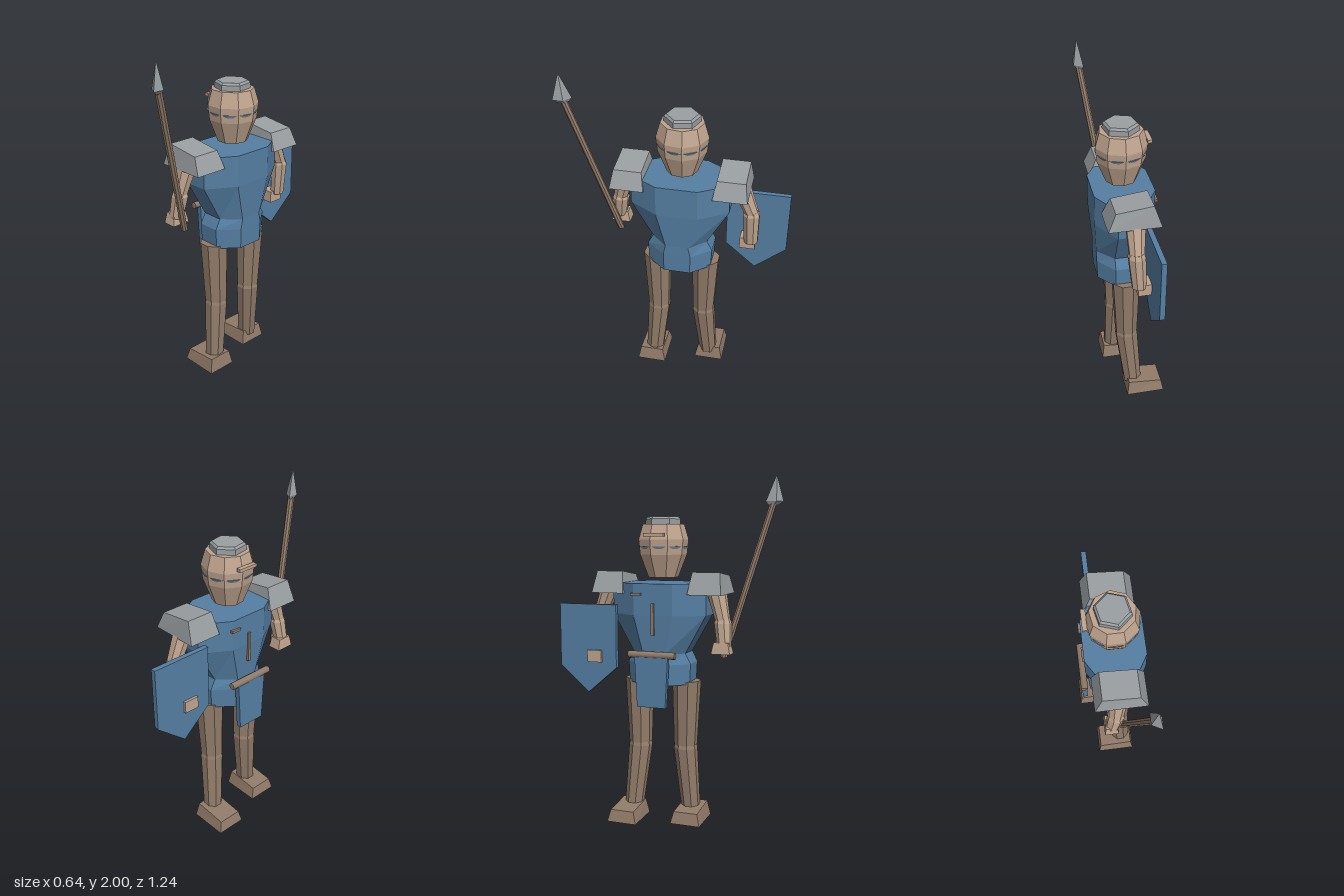
import * as THREE from 'three';

const mat = (name, color) => {
  const m = new THREE.MeshStandardMaterial({ color });
  m.name = name;
  return m;
};

// Faceted solid through stacked rings [y, radiusX, radiusZ, centreX, centreZ], bottom to top
function loft(rings, sides, start = 0) {
  const pos = [];
  const at = ([y, rx, rz, cx = 0, cz = 0], i) => {
    const a = start + ((i % sides) / sides) * Math.PI * 2;
    return [cx + rx * Math.sin(a), y, cz + rz * Math.cos(a)];
  };
  const mid = ([y, , , cx = 0, cz = 0]) => [cx, y, cz];
  const low = rings[0], high = rings[rings.length - 1];
  for (let i = 0; i < sides; i++) {
    for (let k = 0; k < rings.length - 1; k++) {
      const a = at(rings[k], i), b = at(rings[k], i + 1);
      const c = at(rings[k + 1], i + 1), d = at(rings[k + 1], i);
      pos.push(...a, ...b, ...c, ...a, ...c, ...d);
    }
    pos.push(...mid(high), ...at(high, i), ...at(high, i + 1));
    pos.push(...mid(low), ...at(low, i + 1), ...at(low, i));
  }
  const g = new THREE.BufferGeometry();
  g.setAttribute('position', new THREE.Float32BufferAttribute(pos, 3));
  g.computeVertexNormals();
  return g;
}

// Box standing on y = 0 whose top is scaled by sx, sz and has its own front and back height
function block(w, l, sx, sz, frontH, backH) {
  const g = new THREE.BoxGeometry(w, 1, l).toNonIndexed();
  const p = g.attributes.position;
  for (let i = 0; i < p.count; i++) {
    const top = p.getY(i) > 0;
    const h = p.getZ(i) > 0 ? frontH : backH;
    p.setXYZ(i, p.getX(i) * (top ? sx : 1), top ? h : 0, p.getZ(i) * (top ? sz : 1));
  }
  g.computeVertexNormals();
  return g;
}

export function createModel() {
  const skin = mat('tan', 0xc0a58f);
  const brown = mat('brown', 0x927c6a);
  const blue = mat('blue', 0x557fa3);
  const grey = mat('steel grey', 0x9a9fa2);
  const slit = mat('slit blue grey', 0x7d96ab);

  const model = new THREE.Group();
  // The soldier is modelled facing +z, then turned
  const body = new THREE.Group();
  body.name = 'soldier';
  body.position.z = -0.03;
  body.rotation.y = (-120 * Math.PI) / 180;
  model.add(body);

  const add = (name, geo, material, x = 0, y = 0, z = 0, parent = body) => {
    const m = new THREE.Mesh(geo, material);
    m.name = name;
    m.position.set(x, y, z);
    parent.add(m);
    return m;
  };
  const box = (w, h, d) => new THREE.BoxGeometry(w, h, d);

  // Torso
  add('tunic', loft([
    [0.82, 0.2, 0.164], [0.94, 0.206, 0.168], [1.0, 0.172, 0.168],
    [1.22, 0.305, 0.184], [1.4, 0.305, 0.184],
  ], 8, Math.PI / 8), blue);

  // Head, cap and eye slit ring that shows through the middle of each facet
  const headTurn = -Math.PI / 18;
  add('head', loft([
    [1.43, 0.088, 0.088], [1.56, 0.138, 0.138], [1.645, 0.147, 0.147], [1.73, 0.122, 0.122],
  ], 9, headTurn), skin);
  add('eyeSlits', loft([[1.592, 0.134, 0.134], [1.607, 0.1412, 0.1412]], 36), slit);
  add('cap', loft([[1.72, 0.102, 0.102], [1.76, 0.1, 0.1], [1.772, 0.088, 0.088]], 6, 0.72), grey);
  add('visorBar', box(0.12, 0.018, 0.026), skin, 0, 1.67, 0.148);

  // Belt, loincloth and chest fittings
  const belt = add('beltBar', new THREE.CylinderGeometry(0.02, 0.02, 0.28, 8), brown, 0, 1.0, 0.185);
  belt.rotation.z = Math.PI / 2;
  const cloth = new THREE.Shape([[-0.1, 0], [0.1, 0], [0.085, -0.29], [-0.085, -0.29]]
    .map(([x, y]) => new THREE.Vector2(x, y)));
  add('loincloth', new THREE.ExtrudeGeometry(cloth, { depth: 0.03, bevelEnabled: false }), blue, 0, 0.99, 0.17);
  add('chestStrip', box(0.016, 0.18, 0.03), brown, 0, 1.2, 0.165);
  add('chestClasp', box(0.06, 0.014, 0.02), brown, -0.1, 1.34, 0.173);

  for (const s of [1, -1]) {
    const spearSide = s > 0;

    // Shoulder plate
    add('shoulderPlate', block(0.195, 0.29, 0.82, 0.7, 0.125, 0.1), grey, s * 0.29, 1.34, 0);

    // Leg
    const kneeZ = spearSide ? -0.005 : 0.007;
    const ankleZ = spearSide ? -0.02 : 0.044;
    const footZ = spearSide ? 0.018 : 0.11;
    const kneeX = s * 0.14, ankleX = s * 0.17;
    add('thigh', loft([
      [0.45, 0.068, 0.068, kneeX, kneeZ], [0.835, 0.084, 0.084, s * 0.147, 0],
    ], 8, Math.PI / 8), brown);
    add('shin', loft([
      [0.05, 0.056, 0.056, ankleX, ankleZ], [0.43, 0.07, 0.07, kneeX, kneeZ],
      [0.455, 0.062, 0.062, kneeX, kneeZ],
    ], 8, Math.PI / 8), brown);
    add('foot', block(0.178, 0.232, 0.8, 0.88, 0.07, 0.088), brown, s * 0.18, 0, footZ);

    // Arm
    const elbow = spearSide ? [0.37, 0.03] : [-0.4, 0.005];
    const wrist = spearSide ? [0.385, 0.05] : [-0.405, 0.02];
    const wristY = spearSide ? 1.05 : 0.98;
    add('upperArm', loft([
      [1.19, 0.043, 0.043, ...elbow], [1.38, 0.06, 0.06, s * 0.32, 0.01],
    ], 8, Math.PI / 8), skin);
    add('forearm', loft([
      [wristY, 0.042, 0.042, ...wrist], [1.18, 0.05, 0.05, ...elbow], [1.205, 0.04, 0.04, ...elbow],
    ], 8, Math.PI / 8), skin);
  }

  // Hands
  add('spearHand', block(0.11, 0.08, 0.75, 0.8, 0.065, 0.065), skin, 0.375, 1.01, 0.06);
  add('shieldHand', box(0.09, 0.07, 0.12), skin, -0.385, 0.965, 0.07);

  // Shield
  const outline = new THREE.Shape([[-0.18, 1.27], [-0.18, 0.9], [0, 0.745], [0.18, 0.9], [0.18, 1.27]]
    .map(([x, y]) => new THREE.Vector2(x, y)));
  add('shield', new THREE.ExtrudeGeometry(outline, { depth: 0.03, bevelEnabled: false }), blue, -0.43, 0, 0.085);

  // Spear
  const spear = new THREE.Group();
  spear.name = 'spear';
  model.add(spear);
  add('spearShaft', loft([
    [0.98, 0.02, 0.02, -0.185, 0.29], [1.86, 0.02, 0.02, -0.2, 0.565],
  ], 8), brown, 0, 0, 0, spear);
  add('spearPoint', loft([
    [1.835, 0.018, 0.03, -0.2, 0.56], [1.855, 0.032, 0.052, -0.2, 0.568], [2.0, 0.001, 0.001, -0.2, 0.577],
  ], 4), grey, 0, 0, 0, spear);

  return model;
}
